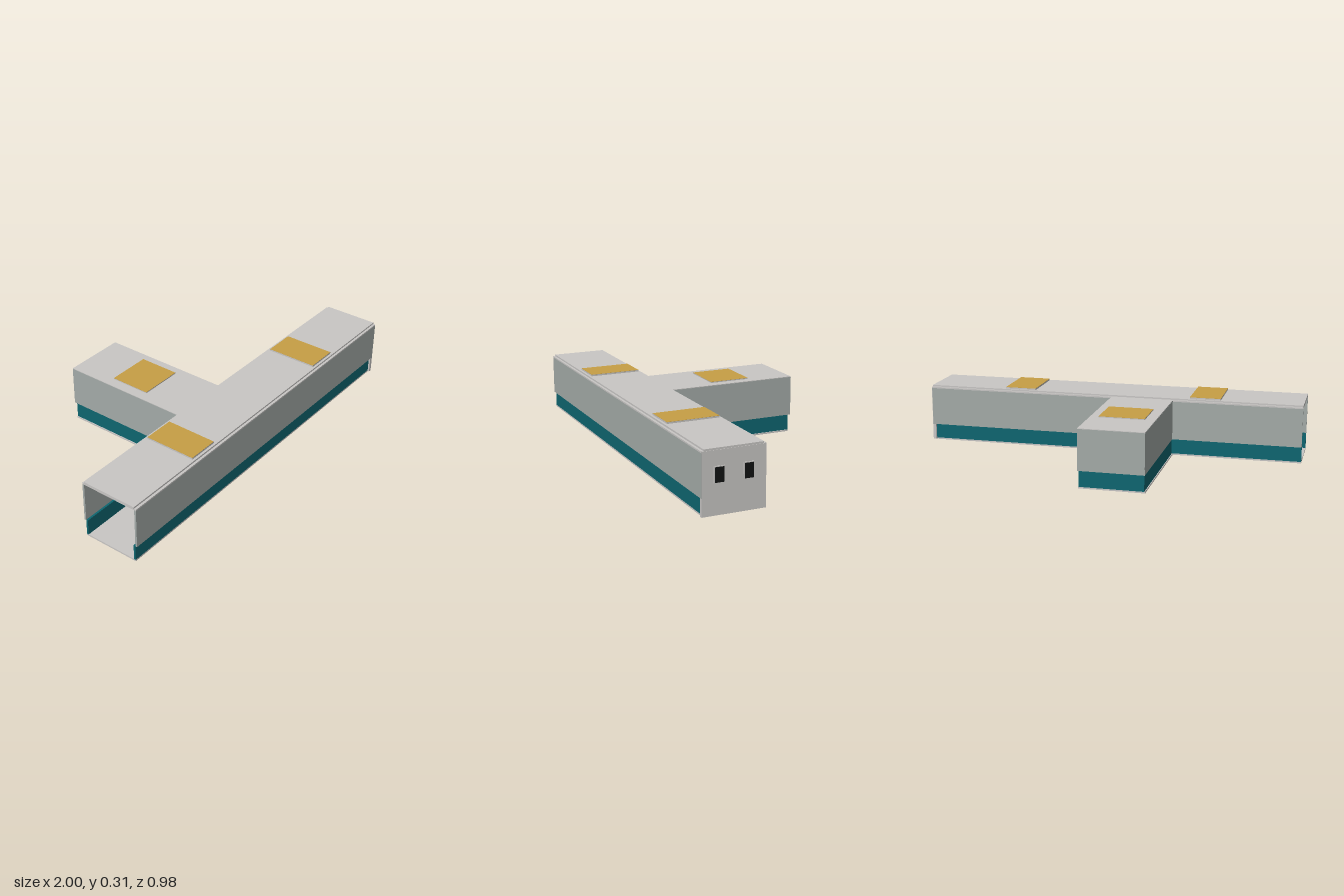
import * as THREE from 'three';

const mat = (name, color) => {
  const m = new THREE.MeshStandardMaterial({ color });
  m.name = name;
  return m;
};

export function createModel() {
  const model = new THREE.Group();
  model.name = 'corridorBuilding';
  const light = mat('light grey', 0xc9c7c5);
  const grey = mat('wall grey', 0xa4aba8);
  const teal = mat('teal', 0x0e6670);
  const gold = mat('gold', 0xc79f45);
  const black = mat('black', 0x111313);

  // Box given by its limits on each axis
  const box = (parent, name, m, x0, x1, y0, y1, z0, z1) => {
    const mesh = new THREE.Mesh(new THREE.BoxGeometry(x1 - x0, y1 - y0, z1 - z0), m);
    mesh.position.set((x0 + x1) / 2, (y0 + y1) / 2, (z0 + z1) / 2);
    mesh.name = name;
    parent.add(mesh);
  };
  const group = (name) => {
    const g = new THREE.Group();
    g.name = name;
    model.add(g);
    return g;
  };
  const T = 0.01; // wall thickness
  const W0 = -0.335, W1 = -0.01; // wing sides

  // Main hall: hollow, open at its right end
  const hall = group('mainHall');
  box(hall, 'floor', light, -1, 0.985, 0.004, 0.012, 0.193, 0.48);
  box(hall, 'eaves', light, -1, 0.99, 0.29, 0.297, 0.183, 0.49);
  box(hall, 'roof', light, -1, 0.99, 0.297, 0.305, 0.195, 0.478);
  box(hall, 'frontUpperWall', grey, -1, 0.99, 0.09, 0.29, 0.49 - T, 0.49);
  box(hall, 'frontLowerWall', teal, -1, 0.975, 0.012, 0.092, 0.47, 0.48);
  // Back wall leaves a doorway into the wing
  for (const [a, b, c] of [[-1, W0 + T, W0 + T], [W1 - T, 0.99, 0.975]]) {
    box(hall, 'backUpperWall', grey, a, b, 0.09, 0.29, 0.183, 0.183 + T);
    box(hall, 'backLowerWall', teal, a, c, 0.012, 0.092, 0.193, 0.203);
  }
  box(hall, 'endWall', light, 0.975, 0.992, 0.006, 0.296, 0.184, 0.489);

  // End wall windows
  for (const z of [0.407, 0.268]) {
    box(hall, 'windowFrame', light, 0.99, 0.996, 0.15, 0.226, z - 0.026, z + 0.026);
    box(hall, 'windowPane', black, 0.993, 0.999, 0.154, 0.222, z - 0.021, z + 0.021);
  }

  // Wing running backwards from the hall
  const wing = group('wing');
  box(wing, 'floor', light, W0, W1, 0, 0.008, -0.478, 0.2);
  box(wing, 'roof', light, W0, W1, 0.29, 0.297, -0.49, 0.183);
  box(wing, 'backUpperWall', grey, W0, W1, 0.09, 0.294, -0.4905, -0.48);
  box(wing, 'backLowerWall', teal, W0 + 0.004, W1 - 0.004, 0.008, 0.092, -0.479, -0.469);
  for (const [x, s] of [[W0, 1], [W1, -1]]) {
    const limits = (d) => [x + s * d, x + s * (d + T)].sort((a, b) => a - b);
    box(wing, 'sideUpperWall', grey, ...limits(-0.0005), 0.09, 0.294, -0.49, 0.19);
    box(wing, 'sideLowerWall', teal, ...limits(0.004), 0.008, 0.092, -0.478, 0.2);
  }

  // Raised roof panels with gold tops
  const panels = [
    [-0.58, -0.42, 0.305, 0.314, 0.205, 0.466],
    [0.41, 0.575, 0.305, 0.314, 0.205, 0.466],
    [-0.283, -0.055, 0.297, 0.303, -0.26, -0.05],
  ];
  for (const [x0, x1, y0, y1, z0, z1] of panels) {
    const panel = group('roofPanel');
    box(panel, 'panelBase', light, x0, x1, y0, y1 - 0.001, z0, z1);
    box(panel, 'panelTop', gold, x0, x1, y1 - 0.001, y1, z0, z1);
  }
  return model;
}
